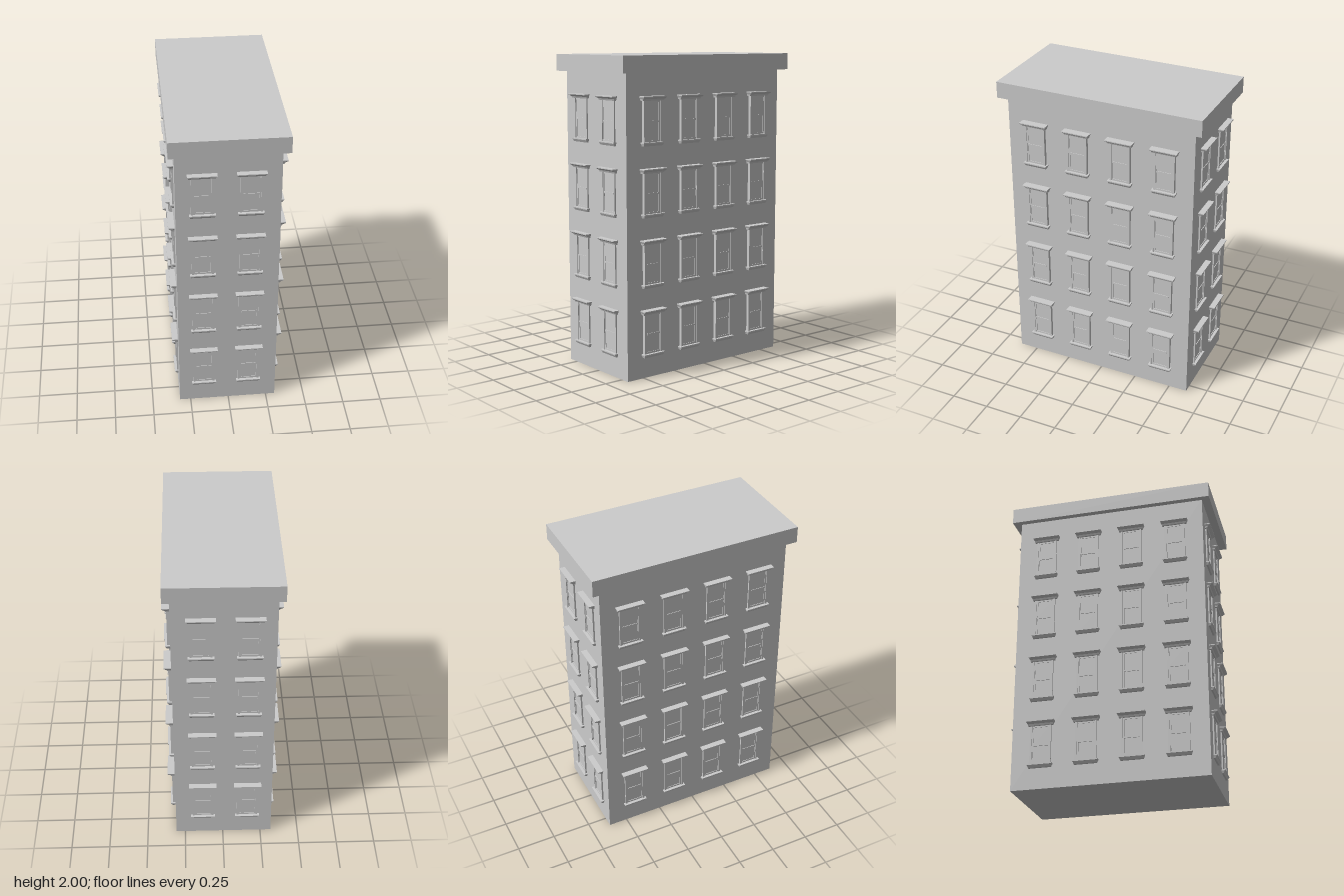
import * as THREE from 'three';

const material = new THREE.MeshStandardMaterial({ color: 0xcccccc, flatShading: true });

function addMesh(parent, name, geometry) {
  const mesh = new THREE.Mesh(geometry, material);
  mesh.name = name;
  parent.add(mesh);
  return mesh;
}

// Box between two corners
function block(parent, name, [x0, y0, z0], [x1, y1, z1]) {
  const g = new THREE.BoxGeometry(x1 - x0, y1 - y0, z1 - z0);
  g.translate((x0 + x1) / 2, (y0 + y1) / 2, (z0 + z1) / 2);
  return addMesh(parent, name, g);
}

// Moulding against the wall (z = 0): bottom and top each have [y, width, depth]
function moulding(parent, name, bottom, top) {
  const g = new THREE.BoxGeometry(1, 1, 1);
  const p = g.attributes.position;
  for (let i = 0; i < p.count; i++) {
    const [y, width, depth] = p.getY(i) > 0 ? top : bottom;
    p.setXYZ(i, p.getX(i) * width, y, p.getZ(i) > 0 ? depth : -0.015);
  }
  g.computeVertexNormals();
  return addMesh(parent, name, g);
}

// One sash window facing +z, with the wall at z = 0
function createWindow() {
  const w = new THREE.Group();
  w.name = 'window';

  // Hood: thin lip, undercut and fascia
  moulding(w, 'hoodLip', [0.430, 0.177, 0.038], [0.436, 0.177, 0.038]);
  moulding(w, 'hoodUndercut', [0.419, 0.166, 0.023], [0.430, 0.177, 0.038]);
  moulding(w, 'hoodFascia', [0.408, 0.160, 0.015], [0.419, 0.164, 0.020]);

  // Sill
  moulding(w, 'sillLip', [0.150, 0.158, 0.024], [0.157, 0.158, 0.024]);
  moulding(w, 'sillBase', [0.134, 0.144, 0.012], [0.150, 0.155, 0.021]);

  // Outer frame and sash stiles
  for (const s of [-1, 1]) {
    const jamb = block(w, 'jamb', [-0.006, 0.157, -0.015], [0.006, 0.408, 0.010]);
    jamb.position.x = s * 0.062;
    const stile = block(w, 'sashStile', [-0.004, 0.157, -0.015], [0.004, 0.408, 0.005]);
    stile.position.x = s * 0.052;
  }

  // Sash rails and panes
  block(w, 'topRail', [-0.048, 0.398, -0.015], [0.048, 0.408, 0.005]);
  block(w, 'meetingRail', [-0.048, 0.276, -0.015], [0.048, 0.286, 0.006]);
  block(w, 'bottomRail', [-0.048, 0.157, -0.015], [0.048, 0.168, 0.005]);
  block(w, 'upperPane', [-0.048, 0.286, -0.015], [0.048, 0.398, 0.002]);
  block(w, 'lowerPane', [-0.048, 0.168, -0.015], [0.048, 0.276, 0.001]);
  return w;
}

export function createModel() {
  const model = new THREE.Group();
  model.name = 'building';

  // Main block and flat overhanging roof
  block(model, 'walls', [-0.32, 0, -0.623], [0.309, 1.9, 0.623]);
  block(model, 'roof', [-0.357, 1.895, -0.675], [0.351, 2, 0.675]);

  // Rows of windows on all four walls
  const endX = [-0.16, 0.13];
  const sideZ = [-0.436, -0.145, 0.145, 0.436];
  const walls = [
    { name: 'frontWindows', turn: 0, spots: endX.map((x) => [x, 0.622]) },
    { name: 'backWindows', turn: Math.PI, spots: endX.map((x) => [x, -0.623]) },
    { name: 'leftWindows', turn: Math.PI / 2, spots: sideZ.map((z) => [0.320, z]) },
    { name: 'rightWindows', turn: -Math.PI / 2, spots: sideZ.map((z) => [-0.32, z]) },
  ];
  const prototype = createWindow();
  for (const { name, turn, spots } of walls) {
    const group = new THREE.Group();
    group.name = name;
    for (let floor = 0; floor < 4; floor++) {
      for (const [x, z] of spots) {
        const w = prototype.clone();
        w.position.set(x, floor * 0.44, z);
        w.rotation.y = turn;
        group.add(w);
      }
    }
    model.add(group);
  }
  return model;
}
